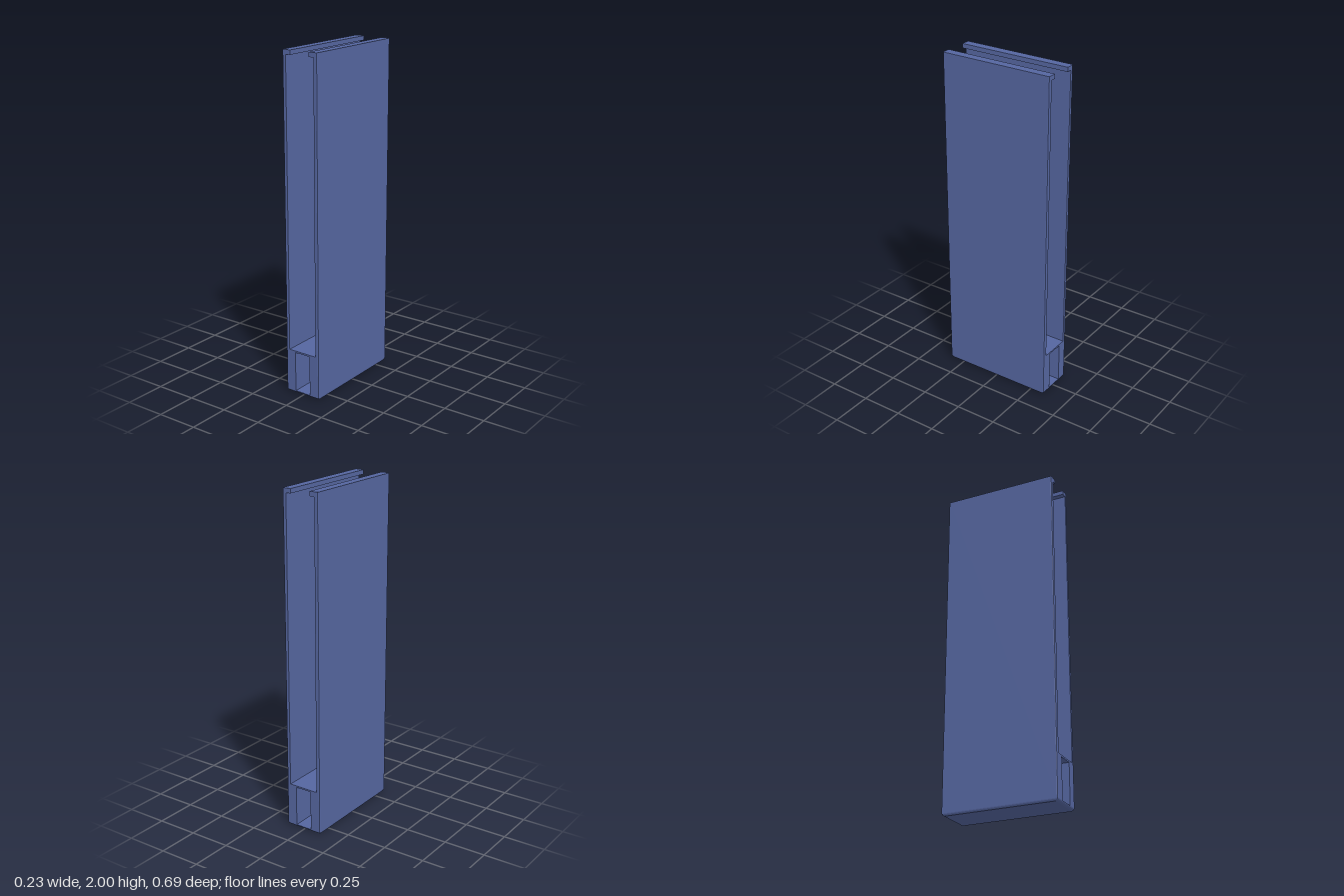
import * as THREE from 'three';

const HALF_W = 0.115, HALF_D = 0.345, INNER = 0.093, LIP = 0.062, SLOT = 0.051;
const FLOOR = 0.015, SHELF = 0.267, TOP = 2, CUT = 0.006;

export function createModel() {
  const group = new THREE.Group();
  const blue = new THREE.MeshStandardMaterial({ color: 0x5566a0 });
  blue.name = 'slate blue';

  const add = (name, geometry) => {
    const mesh = new THREE.Mesh(geometry, blue);
    mesh.name = name;
    group.add(mesh);
    return mesh;
  };

  // Upright prism from a plan outline of [x, z] points
  const prism = (plan, y0, y1, steps = 1) => {
    const shape = new THREE.Shape(plan.map(([x, z]) => new THREE.Vector2(x, -z)));
    const g = new THREE.ExtrudeGeometry(shape, { depth: y1 - y0, steps, bevelEnabled: false });
    return g.rotateX(-Math.PI / 2).translate(0, y0, 0);
  };

  // Box spanning x0..x1 and y0..y1 over the full depth
  const bar = (name, x0, x1, y0, y1) => {
    const g = new THREE.BoxGeometry(x1 - x0, y1 - y0, HALF_D * 2);
    add(name, g.translate((x0 + x1) / 2, (y0 + y1) / 2, 0));
  };

  // Base plate with softened corners and a rounded lower rim
  const w = HALF_W - CUT, d = HALF_D - CUT, m = CUT * 0.3;
  const quarter = [[HALF_W, d], [HALF_W - m, HALF_D - m], [w, HALF_D]];
  const flip = (sx, sz) => quarter.map(([x, z]) => [x * sx, z * sz]);
  const plan = [...flip(1, 1), ...flip(-1, 1).reverse(), ...flip(-1, -1), ...flip(1, -1).reverse()];
  const base = prism(plan, 0, FLOOR, 3);
  const p = base.attributes.position;
  for (let i = 0; i < p.count; i++) {
    const t = 1 - p.getY(i) / FLOOR;
    const inset = t * t;
    p.setX(i, p.getX(i) * (1 - inset * 0.007 / HALF_W));
    p.setZ(i, p.getZ(i) * (1 - inset * 0.015 / HALF_D));
  }
  base.deleteAttribute('normal');
  base.computeVertexNormals();
  add('basePlate', base);

  // Side walls, inward top lips and the thick lower blocks beside the slot
  for (const [side, s] of [['left', 1], ['right', -1]]) {
    const span = (a, b) => (s > 0 ? [a, b] : [-b, -a]);
    const wall = [[INNER, HALF_D], ...flip(1, 1).reverse(), ...flip(1, -1), [INNER, -HALF_D]];
    add(side + 'Wall', prism(wall.map(([x, z]) => [x * s, z]), FLOOR, TOP));
    bar(side + 'TopLip', ...span(LIP, INNER), 1.974, TOP);
    bar(side + 'LowerBlock', ...span(SLOT, INNER), FLOOR, SHELF);
  }

  // Thin shelf closing the lower slot from above
  bar('shelf', -SLOT, SLOT, SHELF - 0.01, SHELF);

  return group;
}
